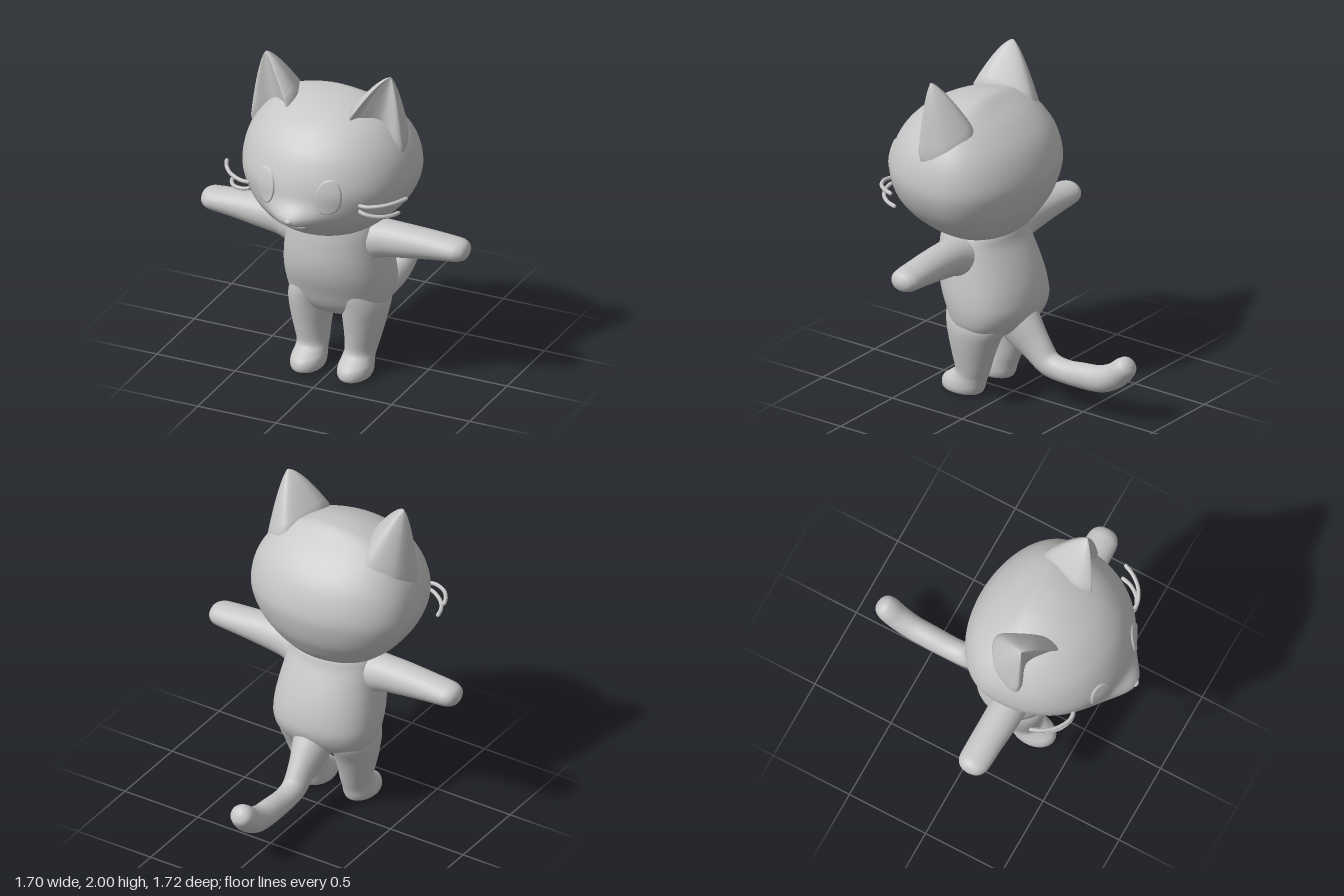
import * as THREE from 'three';

const V = (x, y, z) => new THREE.Vector3(x, y, z);

// Smoothly interpolate table rows at fractional row u
function rowAt(rows, u) {
  const n = rows.length - 1;
  const i = Math.min(Math.floor(u), n - 1), t = u - i;
  const at = k => rows[Math.max(0, Math.min(n, k))];
  const [a, b, c, d] = [at(i - 1), at(i), at(i + 1), at(i + 2)];
  return b.map((_, k) => {
    const m0 = (c[k] - a[k]) / 2, m1 = (d[k] - b[k]) / 2;
    const t2 = t * t, t3 = t2 * t;
    return (2 * t3 - 3 * t2 + 1) * b[k] + (t3 - 2 * t2 + t) * m0
      + (3 * t2 - 2 * t3) * c[k] + (t3 - t2) * m1;
  });
}

function resample(rows, steps = 4) {
  const out = [], n = (rows.length - 1) * steps;
  for (let i = 0; i <= n; i++) out.push(rowAt(rows, i / steps));
  return out;
}

// Skin closed rings and cap both ends
function loft(rings) {
  const n = rings[0].length, pos = [], idx = [];
  rings.forEach(r => r.forEach(p => pos.push(p.x, p.y, p.z)));
  for (let i = 0; i < rings.length - 1; i++) {
    for (let j = 0; j < n; j++) {
      const a = i * n + j, b = i * n + (j + 1) % n;
      idx.push(a, a + n, b, b, a + n, b + n);
    }
  }
  [0, rings.length - 1].forEach((r, end) => {
    const c = V(0, 0, 0);
    rings[r].forEach(p => c.addScaledVector(p, 1 / n));
    const ci = pos.length / 3;
    pos.push(c.x, c.y, c.z);
    for (let j = 0; j < n; j++) {
      const a = r * n + j, b = r * n + (j + 1) % n;
      idx.push(...(end ? [ci, b, a] : [ci, a, b]));
    }
  });
  const g = new THREE.BufferGeometry();
  g.setAttribute('position', new THREE.Float32BufferAttribute(pos, 3));
  g.setIndex(idx);
  g.computeVertexNormals();
  return g;
}

// Upright form from rows [y, centre x, half width, front z, back z]; power < 1 is squarer
function upright(rows, { split = null, bump = () => 0, seg = 48, power = 1 } = {}) {
  return loft(resample(rows).map(([y, xc, rx, zf, zb]) => {
    const zc = split ?? (zf + zb) / 2;
    return Array.from({ length: seg }, (_, j) => {
      const a = j / seg * Math.PI * 2, s = Math.sin(a);
      const x = xc + rx * Math.cos(a), depth = Math.pow(Math.abs(s), power);
      return V(x, y, s > 0 ? zc + depth * (zf - zc) + bump(x, y) : zc - depth * (zc - zb));
    });
  }));
}

// Limb along a path from rows [x, y, z, radius along side, other radius]
function limb(rows, side, seg = 24) {
  const r = resample(rows);
  return loft(r.map((p, i) => {
    const a = r[Math.max(0, i - 1)], b = r[Math.min(r.length - 1, i + 1)];
    const dir = V(b[0] - a[0], b[1] - a[1], b[2] - a[2]).normalize();
    const up = side.clone().cross(dir).normalize();
    return Array.from({ length: seg }, (_, j) => {
      const t = j / seg * Math.PI * 2;
      return V(p[0], p[1], p[2]).addScaledVector(side, Math.cos(t) * p[3])
        .addScaledVector(up, Math.sin(t) * p[4]);
    });
  }));
}

function mirrored(geo) {
  const g = geo.clone().scale(-1, 1, 1), ix = g.index.array;
  for (let i = 0; i < ix.length; i += 3) [ix[i], ix[i + 1]] = [ix[i + 1], ix[i]];
  g.computeVertexNormals();
  return g;
}

const HEAD = [
  [0.978, 0, 0.02, 0.22, 0.18], [0.982, 0, 0.16, 0.4, 0.07], [1.01, 0, 0.27, 0.53, -0.01],
  [1.06, 0, 0.34, 0.62, -0.06], [1.12, 0, 0.405, 0.685, -0.1], [1.2, 0, 0.465, 0.735, -0.145],
  [1.3, 0, 0.51, 0.76, -0.175], [1.39, 0, 0.522, 0.762, -0.185], [1.5, 0, 0.505, 0.725, -0.158],
  [1.6, 0, 0.46, 0.668, -0.105], [1.7, 0, 0.38, 0.565, -0.01], [1.77, 0, 0.27, 0.44, 0.09],
  [1.81, 0, 0.13, 0.32, 0.15], [1.82, 0, 0.02, 0.22, 0.18]];
const HEAD_Z = 0.2, HEAD_POWER = 0.9;
const muzzle = (x, y) => 0.103 * Math.exp(-((x / 0.16) ** 2) - ((y - 1.22) / 0.075) ** 2);

// Depth of the face surface at x, y
function faceZ(x, y) {
  let lo = 0, hi = HEAD.length - 1;
  for (let i = 0; i < 30; i++) {
    const m = (lo + hi) / 2;
    if (rowAt(HEAD, m)[0] < y) lo = m; else hi = m;
  }
  const [, , rx, zf] = rowAt(HEAD, lo);
  const depth = Math.pow(Math.max(0, 1 - (x / rx) ** 2), HEAD_POWER / 2);
  return HEAD_Z + (zf - HEAD_Z) * depth + muzzle(x, y);
}

export function createModel() {
  const model = new THREE.Group();
  model.name = 'cat';
  const grey = new THREE.MeshStandardMaterial({ color: 0xc6c6c6 });
  grey.name = 'grey';
  const add = (name, geo) => {
    const m = new THREE.Mesh(geo, grey);
    m.name = name;
    model.add(m);
  };
  const pair = (name, geo) => {
    add('left' + name, geo);
    add('right' + name, mirrored(geo));
  };

  add('head', upright(HEAD, { split: HEAD_Z, bump: muzzle, seg: 80, power: HEAD_POWER }));

  add('body', upright([
    [0.365, 0, 0.1, 0.2, 0.06], [0.385, 0, 0.21, 0.275, -0.02], [0.45, 0, 0.295, 0.335, -0.1],
    [0.55, 0, 0.322, 0.38, -0.15], [0.65, 0, 0.323, 0.42, -0.146], [0.75, 0, 0.312, 0.44, -0.118],
    [0.85, 0, 0.297, 0.442, -0.075], [0.95, 0, 0.28, 0.435, -0.025], [1.02, 0, 0.25, 0.42, 0],
    [1.06, 0, 0.18, 0.36, 0.06]], { power: 0.8 }));

  // Legs with feet
  pair('Leg', upright([
    [0, 0.15, 0.075, 0.36, 0.135], [0.012, 0.15, 0.092, 0.38, 0.12], [0.04, 0.15, 0.1, 0.386, 0.108],
    [0.075, 0.15, 0.098, 0.374, 0.098], [0.11, 0.15, 0.092, 0.33, 0.085],
    [0.15, 0.153, 0.093, 0.288, 0.07], [0.25, 0.163, 0.108, 0.3, 0.035],
    [0.35, 0.168, 0.125, 0.318, -0.005], [0.45, 0.168, 0.136, 0.335, -0.055],
    [0.54, 0.15, 0.13, 0.345, -0.06], [0.64, 0.13, 0.11, 0.33, -0.03]]));

  // Outstretched arms
  pair('Arm', limb([
    [0.15, 0.88, 0.2, 0.15, 0.14], [0.27, 0.898, 0.205, 0.122, 0.122], [0.34, 0.908, 0.205, 0.11, 0.11],
    [0.46, 0.915, 0.205, 0.104, 0.1], [0.62, 0.922, 0.2, 0.098, 0.084],
    [0.76, 0.924, 0.197, 0.094, 0.07], [0.805, 0.924, 0.196, 0.083, 0.063],
    [0.835, 0.924, 0.196, 0.058, 0.045], [0.85, 0.924, 0.196, 0.015, 0.012]], V(0, 0, 1)));

  // Tail curling up at the end
  add('tail', limb([
    [0, 0.52, 0.02, 0.14, 0.14], [0, 0.42, -0.07, 0.11, 0.128], [0, 0.325, -0.165, 0.08, 0.1],
    [0, 0.243, -0.255, 0.07, 0.078], [0, 0.222, -0.37, 0.068, 0.07], [0, 0.228, -0.5, 0.07, 0.077],
    [0, 0.242, -0.63, 0.07, 0.08], [0, 0.29, -0.73, 0.073, 0.077],
    [0, 0.345, -0.79, 0.074, 0.072], [0, 0.382, -0.822, 0.058, 0.056],
    [0, 0.398, -0.838, 0.02, 0.02]], V(1, 0, 0)));

  // Ears, hollowed on the front
  const base = new THREE.CatmullRomCurve3([
    V(0.488, 1.56, 0.29), V(0.455, 1.63, 0.335), V(0.35, 1.71, 0.31), V(0.245, 1.75, 0.39),
    V(0.2, 1.76, 0.435), V(0.185, 1.785, 0.31), V(0.28, 1.72, 0.08), V(0.43, 1.61, 0.13)],
  true, 'catmullrom', 0.5).getPoints(64).slice(0, 64);
  const mid = V(0.34, 1.69, 0.27), tip = V(0.4, 2.0, 0.3);
  const heights = [-0.25, 0, 0.15, 0.3, 0.45, 0.6, 0.72, 0.82, 0.9, 0.95, 0.98, 0.993, 1];
  pair('Ear', loft(heights.map(t => {
    const c = mid.clone().lerp(tip, t);
    const s = t < 0 ? 1 : Math.pow(1 - t, 0.7) + 0.001;
    return base.map(p => p.clone().sub(mid).multiplyScalar(s).add(c));
  })));

  // Oval eyes laid over the face, with a short rim
  const eye = new THREE.RingGeometry(0.001, 1, 48, 16);
  const ep = eye.attributes.position;
  for (let i = 0; i < ep.count; i++) {
    const u = ep.getX(i), v = ep.getY(i);
    const x = 0.202 + u * 0.073, y = 1.37 + v * 0.11;
    ep.setXYZ(i, x, y, faceZ(x, y) + (Math.hypot(u, v) > 0.97 ? -0.004 : 0.009));
  }
  eye.computeVertexNormals();
  pair('Eye', eye);

  // Nose and mouth
  add('nose', new THREE.SphereGeometry(0.02, 16, 12).scale(1.1, 0.75, 0.6)
    .translate(0, 1.226, 0.842));
  const lip = [[0, 1.21], [0.005, 1.19], [0.03, 1.175], [0.06, 1.175], [0.085, 1.187]];
  pair('Mouth', new THREE.TubeGeometry(new THREE.CatmullRomCurve3(
    lip.map(([x, y]) => V(x, y, faceZ(x, y)))), 24, 0.006, 6));

  // Two curved whiskers on each cheek
  const whiskers = {
    UpperWhisker: [[0.35, 1.307, 0.62], [0.41, 1.312, 0.625], [0.49, 1.32, 0.585],
      [0.545, 1.326, 0.52], [0.572, 1.328, 0.46]],
    LowerWhisker: [[0.35, 1.27, 0.62], [0.4, 1.257, 0.62], [0.465, 1.243, 0.585],
      [0.51, 1.235, 0.525], [0.527, 1.23, 0.465]]
  };
  for (const [name, pts] of Object.entries(whiskers)) {
    const rows = pts.map(p => [...p, 0.012, 0.012]);
    const e = pts[4];
    rows.push([e[0] + 0.003, e[1], e[2] - 0.01, 0.004, 0.004]);
    pair(name, limb(rows, V(0, 1, 0), 10));
  }
  return model;
}
